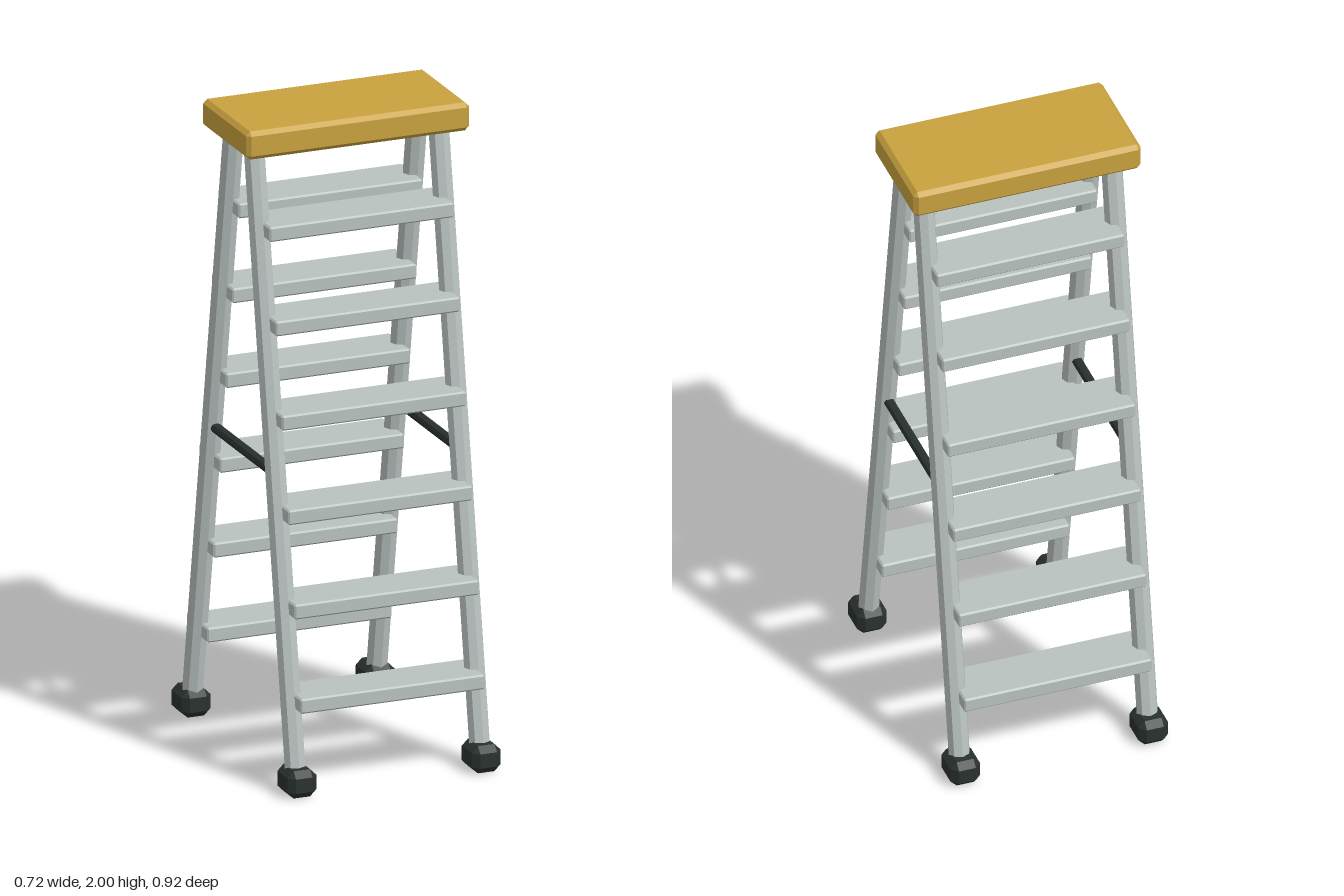
import * as THREE from 'three';
import { ConvexGeometry } from 'three/addons/geometries/ConvexGeometry.js';

// Box with flat chamfers on every edge and corner
function chamferBox(w, h, d, c) {
  const points = [];
  for (const sx of [-1, 1]) for (const sy of [-1, 1]) for (const sz of [-1, 1]) {
    const x = w / 2, y = h / 2, z = d / 2;
    points.push(
      new THREE.Vector3(sx * x, sy * (y - c), sz * (z - c)),
      new THREE.Vector3(sx * (x - c), sy * y, sz * (z - c)),
      new THREE.Vector3(sx * (x - c), sy * (y - c), sz * z));
  }
  return new ConvexGeometry(points);
}

// Eight-sided bar between two points
function bar(a, b, radius) {
  const dir = b.clone().sub(a);
  const g = new THREE.CylinderGeometry(radius, radius, dir.length(), 8).toNonIndexed();
  g.applyQuaternion(new THREE.Quaternion().setFromUnitVectors(new THREE.Vector3(0, 1, 0), dir.normalize()));
  g.translate((a.x + b.x) / 2, (a.y + b.y) / 2, (a.z + b.z) / 2);
  g.computeVertexNormals();
  return g;
}

export function createModel() {
  const material = (name, color) => {
    const m = new THREE.MeshStandardMaterial({ color });
    m.name = name;
    return m;
  };
  const aluminium = material('aluminium', 0xb9c2c0);
  const amber = material('amber', 0xc9a23f);
  const rubber = material('black rubber', 0x29312f);

  const group = new THREE.Group();
  group.name = 'stepladder';
  const add = (name, geometry, mat, x = 0, y = 0, z = 0) => {
    const mesh = new THREE.Mesh(geometry, mat);
    mesh.name = name;
    mesh.position.set(x, y, z);
    group.add(mesh);
  };

  const railX = 0.296;
  const railZ = (y) => 0.402 - 0.1693 * y; // lean of the front half

  // Top platform
  add('topPlatform', chamferBox(0.716, 0.088, 0.351, 0.013), amber, 0, 1.956, 0);

  const tread = chamferBox(0.592, 0.046, 0.16, 0.005);
  const foot = chamferBox(0.093, 0.085, 0.116, 0.02);

  for (const [end, sz] of [['front', 1], ['back', -1]]) {
    // Treads
    for (let i = 1; i <= 6; i++) {
      const y = 0.28 * i;
      add(`${end}Tread${i}`, tread, aluminium, 0, y, sz * railZ(y));
    }
    // Leaning rails with rubber feet
    for (const [side, sx] of [['Left', 1], ['Right', -1]]) {
      const low = new THREE.Vector3(sx * railX, 0.03, sz * railZ(0.03));
      const high = new THREE.Vector3(sx * railX, 1.94, sz * railZ(1.94));
      add(`${end}${side}Rail`, bar(low, high, 0.033), aluminium);
      add(`${end}${side}Foot`, foot, rubber, sx * railX, 0.0425, sz * 0.402);
    }
  }

  // Spreader bars between the two halves
  for (const [side, sx] of [['left', 1], ['right', -1]]) {
    const z = railZ(0.95);
    add(`${side}Spreader`,
      bar(new THREE.Vector3(sx * railX, 0.95, -z), new THREE.Vector3(sx * railX, 0.95, z), 0.016), rubber);
  }

  return group;
}
